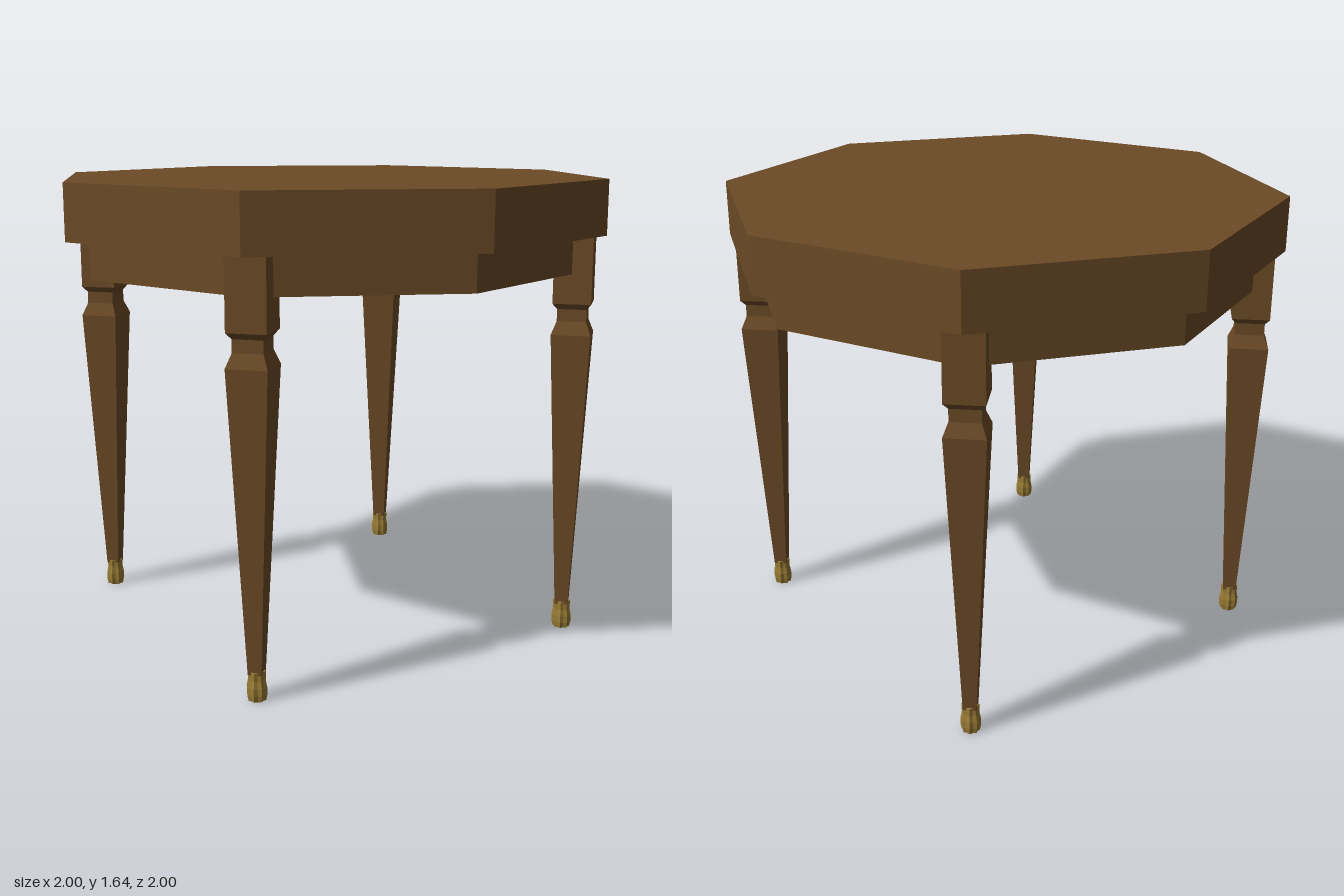
import * as THREE from 'three';

const wood = new THREE.MeshStandardMaterial({ color: 0x6b4a26, flatShading: true });
const brass = new THREE.MeshStandardMaterial({ color: 0x9a7c35, flatShading: true });

// Octagonal slab with corners on the x and z axes
function octagon(name, radius, bottom, top) {
  const mesh = new THREE.Mesh(new THREE.CylinderGeometry(radius, radius, top - bottom, 8), wood);
  mesh.position.y = (bottom + top) / 2;
  mesh.name = name;
  return mesh;
}

// Turned solid from [radius, height] pairs, listed bottom to top
function turned(name, profile, sides, material) {
  const points = profile.map(([r, y]) => new THREE.Vector2(r, y));
  const mesh = new THREE.Mesh(new THREE.LatheGeometry(points, sides), material);
  mesh.name = name;
  return mesh;
}

function createLeg(name) {
  const leg = new THREE.Group();
  leg.name = name;

  // Square tapered post with a narrow neck below the top block
  leg.add(turned('legPost', [
    [0, 0.09], [0.033, 0.09], [0.097, 1.1], [0.072, 1.147], [0.072, 1.19],
    [0.094, 1.21], [0.094, 1.447], [0, 1.447],
  ], 4, wood));

  // Brass foot: every other column of vertices is pulled in to make flutes
  const foot = turned('foot', [
    [0, 0], [0.031, 0], [0.035, 0.02], [0.035, 0.045], [0.03, 0.07], [0.031, 0.1], [0, 0.1],
  ], 16, brass);
  const pos = foot.geometry.attributes.position;
  const rows = 7;
  for (let i = 0; i < pos.count; i++) {
    if (Math.floor(i / rows) % 2 === 1) {
      pos.setX(i, pos.getX(i) * 0.84);
      pos.setZ(i, pos.getZ(i) * 0.84);
    }
  }
  foot.geometry.computeVertexNormals();
  leg.add(foot);
  return leg;
}

export function createModel() {
  const table = new THREE.Group();
  table.name = 'octagonalTable';
  table.add(octagon('tableTop', 1, 1.445, 1.64));
  table.add(octagon('apron', 0.918, 1.315, 1.445));

  // One leg under each diagonal corner
  for (const [side, sx] of [['Left', 1], ['Right', -1]]) {
    for (const [end, sz] of [['front', 1], ['back', -1]]) {
      const leg = createLeg(`${end}${side}Leg`);
      leg.position.set(sx * 0.632, 0, sz * 0.632);
      table.add(leg);
    }
  }
  return table;
}
